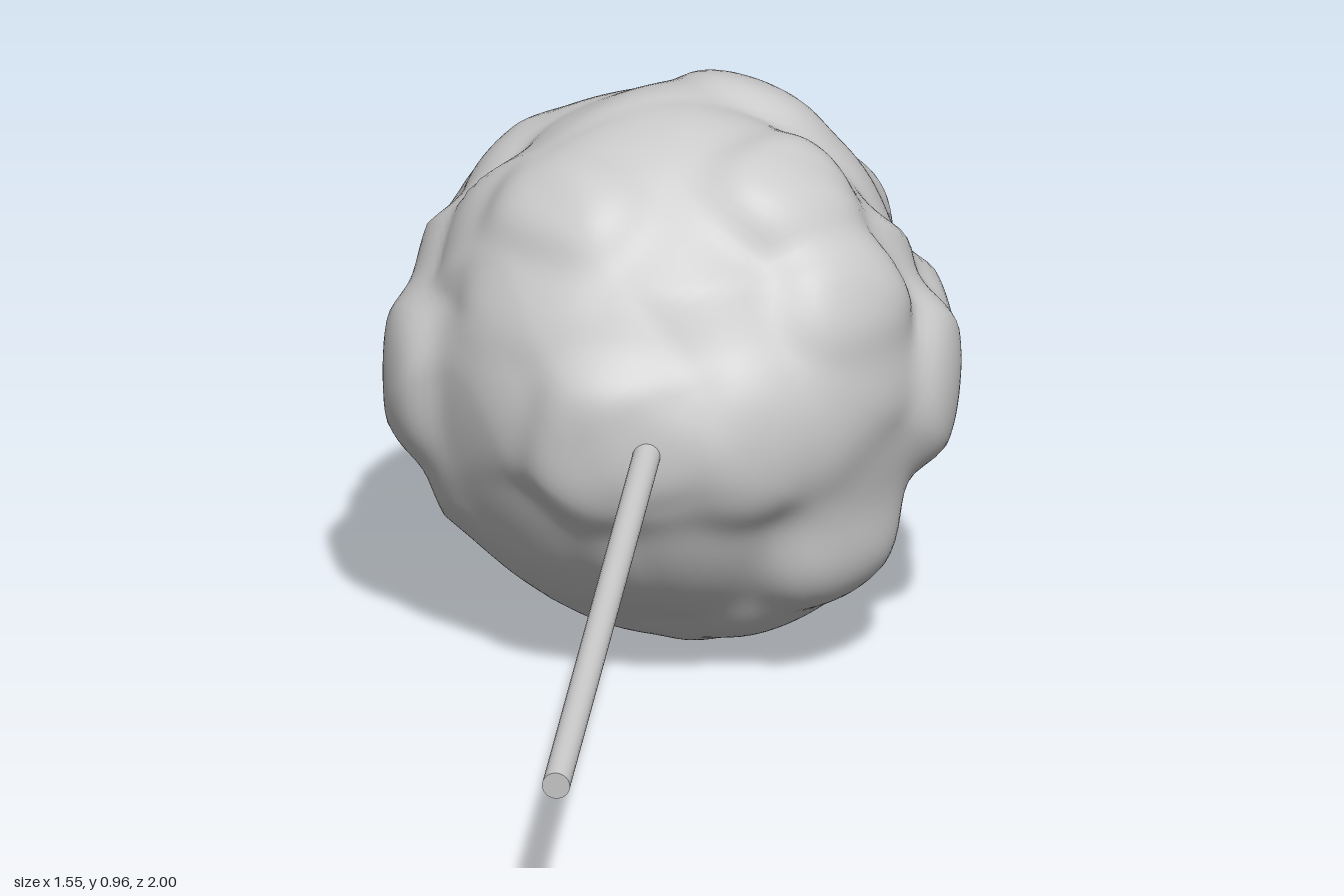
import * as THREE from 'three';
import { mergeVertices } from 'three/addons/utils/BufferGeometryUtils.js';

const CENTER = new THREE.Vector3(-0.29, 0.48, -0.53);
const TIP = new THREE.Vector3(0.753, 0.4, 0.981);
const ENTRY = new THREE.Vector3(0, 0.482, -0.13);
const BASE_RADIUS = 0.456;

// Radii of the candy outline [angle in degrees, radius] around three great circles
const XY = [[8, 0.485], [26, 0.51], [55, 0.51], [79, 0.47], [97, 0.48], [110, 0.46], [142, 0.475], [163, 0.48], [178, 0.487],
  [205, 0.485], [236, 0.465], [259, 0.458], [283, 0.492], [303, 0.5], [326, 0.53], [337, 0.466], [350, 0.465]];
const ZY = [[5, 0.462], [30, 0.468], [52, 0.5], [72, 0.47], [118, 0.5], [135, 0.475], [156, 0.508], [172, 0.455], [188, 0.465],
  [206, 0.445], [221, 0.475], [245, 0.465], [265, 0.485], [285, 0.475], [300, 0.45], [318, 0.445], [336, 0.44]];
const XZ = [[8, 0.485], [334, 0.51], [312, 0.495], [285, 0.46], [268, 0.46], [236, 0.5], [207, 0.48], [185, 0.487], [149, 0.45],
  [129, 0.495], [98, 0.445], [68, 0.5], [54, 0.48], [32, 0.49]];

function outline(list, toDirection) {
  return list.map(([deg, r]) => {
    const a = THREE.MathUtils.degToRad(deg);
    return { d: toDirection(Math.cos(a), Math.sin(a)), r };
  });
}

// Sharp valleys and soft swells of crumpled wrapping, roughly between -1 and 1
function crumple(v) {
  const a = Math.abs(Math.sin(5 * v.x + 3 * v.y + 1.5 * Math.sin(4 * v.z + 2 * v.x)));
  const b = Math.abs(Math.sin(6 * v.y - 4 * v.z + 1.4 * Math.sin(5 * v.x - v.y) + 1));
  const c = Math.sin(7 * v.z + 5 * v.x + 1.2 * Math.sin(6 * v.y));
  return 0.8 * (a - 0.64) - 0.8 * (b - 0.64) + 0.3 * c;
}

// Crumpled candy ball
function candyGeometry() {
  const controls = [
    ...outline(XY, (c, s) => new THREE.Vector3(c, s, 0)),
    ...outline(ZY, (c, s) => new THREE.Vector3(0, s, c)),
    ...outline(XZ, (c, s) => new THREE.Vector3(c, 0, s)),
  ];
  const axis = ENTRY.clone().sub(CENTER).normalize();
  const side = new THREE.Vector3(0, 1, 0).cross(axis).normalize();
  const up = axis.clone().cross(side);

  let geo = new THREE.IcosahedronGeometry(1, 30);
  geo.deleteAttribute('normal');
  geo.deleteAttribute('uv');
  geo = mergeVertices(geo);
  const pos = geo.attributes.position, v = new THREE.Vector3();
  for (let i = 0; i < pos.count; i++) {
    v.fromBufferAttribute(pos, i).normalize();
    // Blend the outline radii, falling back to a plain sphere between them
    let sum = 0.05 * BASE_RADIUS, weight = 0.05;
    for (const c of controls) {
      const w = Math.exp(75 * (v.dot(c.d) - 1));
      sum += w * c.r;
      weight += w;
    }
    let r = sum / weight;
    // Crumples fade on the outline and grow stronger away from the stick
    const facing = v.dot(axis);
    const rough = THREE.MathUtils.lerp(1, 0.35, THREE.MathUtils.smoothstep(facing, 0.1, 0.8));
    r += 0.022 * rough * (0.25 + 0.75 * 0.05 / weight) * crumple(v);
    // Wrapper gathered around the stick, with its deepest fold below
    const around = Math.atan2(v.dot(up), v.dot(side));
    const ring = THREE.MathUtils.smoothstep(1 - facing, 0.002, 0.03) * Math.exp(-14 * (1 - facing));
    r += 0.007 * ring * Math.cos(3 * around) - 0.014 * ring * Math.exp(4 * (Math.cos(around + 1.9) - 1));
    pos.setXYZ(i, v.x * r, v.y * r, v.z * r);
  }
  geo.computeVertexNormals();
  return geo;
}

export function createModel() {
  const group = new THREE.Group();
  const material = new THREE.MeshStandardMaterial({ color: 0xcccccc });

  const candy = new THREE.Mesh(candyGeometry(), material);
  candy.name = 'candyBall';
  candy.position.copy(CENTER);
  group.add(candy);

  // Straight round stick, pushed a little way into the candy
  const dir = TIP.clone().sub(ENTRY).normalize();
  const start = ENTRY.clone().addScaledVector(dir, -0.1);
  const stick = new THREE.Mesh(new THREE.CylinderGeometry(0.024, 0.024, start.distanceTo(TIP), 24), material);
  stick.name = 'stick';
  stick.position.copy(start).lerp(TIP, 0.5);
  stick.quaternion.setFromUnitVectors(new THREE.Vector3(0, 1, 0), dir);
  group.add(stick);

  return group;
}
